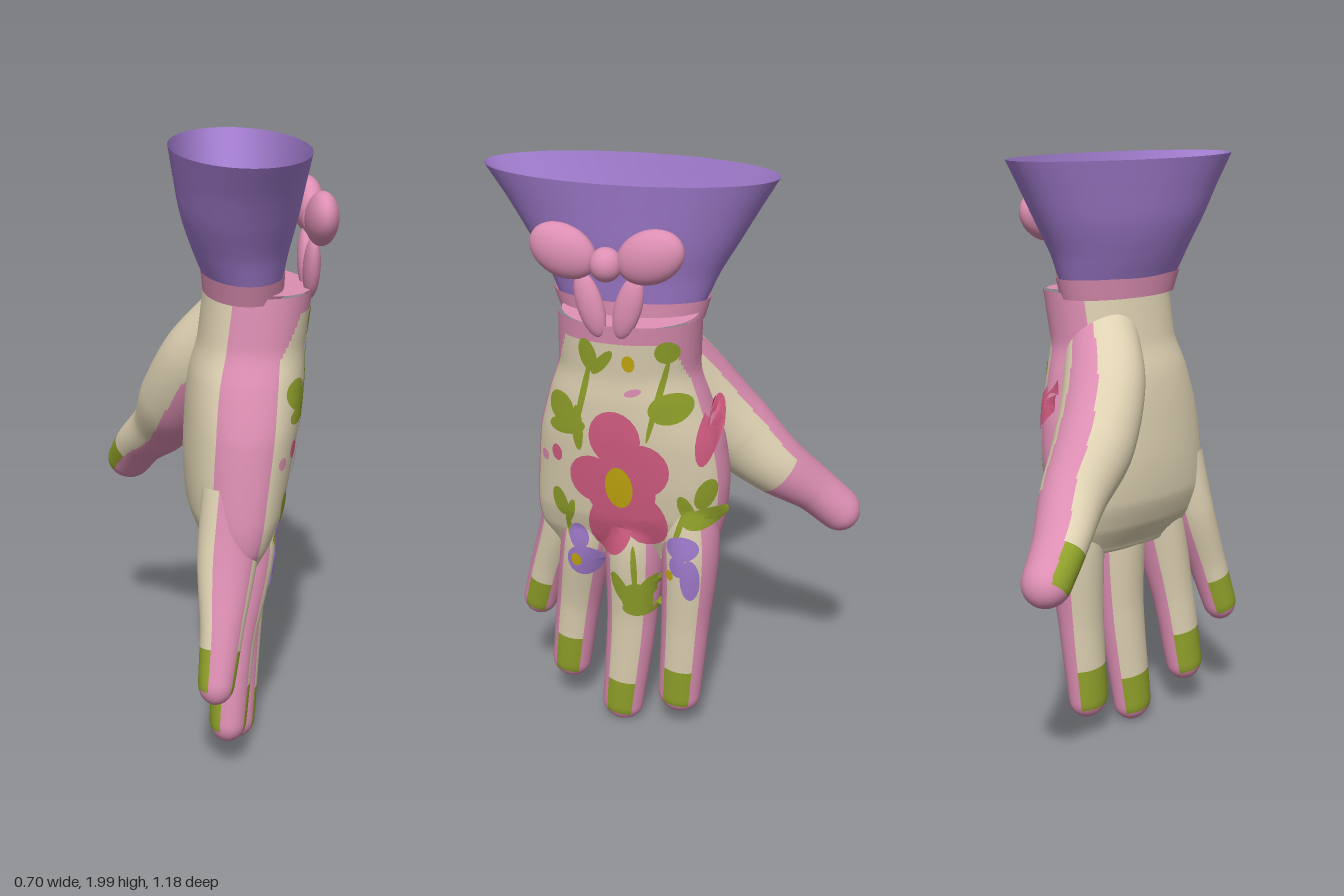
import * as THREE from 'three';
import { mergeGeometries } from 'three/addons/utils/BufferGeometryUtils.js';

const mat = (name, color, side = THREE.FrontSide) => {
  const m = new THREE.MeshStandardMaterial({ color, side });
  m.name = name;
  return m;
};

// Skin of cross-sections [x, y, z, halfX, halfAcross]; paint(t, c) picks a material index
// from the distance along t (above 1 on the rounded tip) and the cosine c around the section.
// level keeps every section horizontal.
function loft(sections, { rows = 40, sides = 56, tip = 0, power = 1, level = false, paint = () => 0 } = {}) {
  const path = new THREE.CatmullRomCurve3(sections.map(s => new THREE.Vector3(s[0], s[1], s[2])));
  const size = new THREE.CatmullRomCurve3(sections.map(s => new THREE.Vector3(s[3], s[4], 0)));
  const rings = [];
  for (let i = 0; i <= rows; i++) {
    const t = i / rows, d = size.getPoint(t);
    const dir = level ? new THREE.Vector3(0, -1, 0) : path.getTangent(t);
    rings.push({ t, p: path.getPoint(t), dir, a: d.x, b: d.y });
  }
  const end = rings[rows];
  for (let k = 1; tip && k <= 8; k++) {
    const q = (k / 8) * Math.PI / 2, f = Math.max(Math.cos(q), 0.002);
    rings.push({ t: 1 + 0.2 * k / 8, p: end.p.clone().addScaledVector(end.dir, tip * Math.sin(q)),
      dir: end.dir, a: end.a * f, b: end.b * f });
  }
  const pos = [], lists = [];
  const bend = v => Math.sign(v) * Math.abs(v) ** power;
  for (const r of rings) {
    const X = new THREE.Vector3(1, 0, 0).addScaledVector(r.dir, -r.dir.x).normalize();
    const W = r.dir.clone().cross(X);
    for (let j = 0; j < sides; j++) {
      const q = j / sides * Math.PI * 2;
      const v = r.p.clone().addScaledVector(X, r.a * bend(Math.cos(q))).addScaledVector(W, r.b * bend(Math.sin(q)));
      pos.push(v.x, v.y, v.z);
    }
  }
  for (let i = 0; i < rings.length - 1; i++) for (let j = 0; j < sides; j++) {
    const k = (j + 1) % sides, A = i * sides + j, B = i * sides + k, C = A + sides, D = B + sides;
    const m = paint((rings[i].t + rings[i + 1].t) / 2, Math.cos((j + 0.5) / sides * Math.PI * 2));
    (lists[m] ||= []).push(A, B, C, B, D, C);
  }
  const g = new THREE.BufferGeometry();
  g.setAttribute('position', new THREE.Float32BufferAttribute(pos, 3));
  const index = [];
  lists.forEach((l, m) => {
    g.addGroup(index.length, l.length, m);
    for (const v of l) index.push(v);
  });
  g.setIndex(index);
  g.computeVertexNormals();
  return g;
}

export function createModel() {
  const model = new THREE.Group();
  model.name = 'glove';
  const cream = mat('cream', 0xe0d3b4), pink = mat('pink', 0xdd8fb3), green = mat('green', 0x92a32b);
  const rose = mat('rose', 0xd85f85), yellow = mat('yellow', 0xc9ad10);
  const purple = mat('purple', 0xa37dd0, THREE.DoubleSide);
  const hemPink = mat('hem pink', 0xdd8fb3, THREE.DoubleSide);
  const skin = [cream, pink, green];
  const add = (name, geo, m, parent = model) => {
    const mesh = new THREE.Mesh(geo, m);
    mesh.name = name;
    parent.add(mesh);
    return mesh;
  };

  // Palm, from wrist to knuckles: rows of [y, xMin, xMax, zMin, zMax]
  const palmRows = [
    [1.575, -0.05, 0.287, -0.12, 0.335], [1.42, -0.07, 0.265, -0.11, 0.345], [1.3, -0.1, 0.26, -0.14, 0.385],
    [1.15, -0.115, 0.245, -0.185, 0.43], [1.0, -0.12, 0.22, -0.2, 0.45], [0.88, -0.112, 0.195, -0.19, 0.462],
    [0.79, -0.08, 0.16, -0.17, 0.455], [0.71, -0.03, 0.115, -0.13, 0.41],
  ].map(([y, a, b, c, d]) => [(a + b) / 2, y, (c + d) / 2, (b - a) / 2, (d - c) / 2]);
  const hand = [add('palm', loft(palmRows, { rows: 56, sides: 120, tip: 0.03, power: 0.9, level: true,
    paint: (t, c) => (c > -0.55 && (t < 0.05 || c < 0.34 + Math.max(0, 0.45 - 2.2 * t)) ? 1 : 0) }), skin)];

  // Fingers: cream back and front, pink side strips, green nails
  const fingers = {
    littleFinger: [0.78, [[0.02, 0.98, 0.35, 0.1, 0.085], [-0.005, 0.77, 0.395, 0.095, 0.078],
      [-0.03, 0.55, 0.47, 0.068, 0.066], [-0.05, 0.4, 0.515, 0.058, 0.062]]],
    ringFinger: [0.83, [[0.055, 1, 0.23, 0.1, 0.1], [0.055, 0.77, 0.28, 0.105, 0.095],
      [0.02, 0.45, 0.345, 0.07, 0.078], [0, 0.19, 0.385, 0.06, 0.07]]],
    middleFinger: [0.89, [[0.07, 1, 0.12, 0.1, 0.1], [0.08, 0.77, 0.115, 0.105, 0.102],
      [0.07, 0.45, 0.132, 0.072, 0.088], [0.055, 0.08, 0.175, 0.058, 0.074]]],
    indexFinger: [0.86, [[0.07, 1, -0.05, 0.1, 0.1], [0.075, 0.77, -0.077, 0.102, 0.098],
      [0.07, 0.44, -0.058, 0.072, 0.083], [0.06, 0.155, -0.035, 0.058, 0.075]]],
  };
  for (const [name, [nail, path]] of Object.entries(fingers)) {
    hand.push(add(name, loft(path, { rows: 48, tip: 0.072,
      paint: (t, c) => (t > 1.05 || (c > -0.55 && c < 0.77) ? 1 : t > nail ? 2 : 0) }), skin));
  }

  // Thumb, swelling out of the side of the palm
  hand.push(add('thumb', loft([
    [0.06, 1.45, 0.03, 0.12, 0.11], [-0.045, 1.28, -0.06, 0.14, 0.125], [-0.115, 1.12, -0.17, 0.132, 0.128],
    [-0.16, 0.985, -0.3, 0.108, 0.105], [-0.235, 0.87, -0.425, 0.092, 0.078], [-0.272, 0.785, -0.51, 0.081, 0.074],
  ], { rows: 64, sides: 120, tip: 0.082, paint: (t, c) => {
    if (t > 1.06) return 1;
    if (c < -0.4 - 0.35 * t) return t > 0.83 ? 2 : 0;
    return t > 0.63 || c < 0.2 + 0.5 * t ? 1 : 0;
  } }), skin));

  // Wrist opening lid, sloping down to the back of the hand
  const lid = new THREE.CircleGeometry(1, 48).rotateX(-Math.PI / 2).scale(0.163, 1, 0.218);
  add('wristLid', lid.rotateZ(-0.08).translate(0.122, 1.583, 0.107), pink);

  // Flared cuff and its pink hem
  add('cuff', loft([
    [0.055, 2, 0.125, 0.215, 0.465], [0.054, 1.9, 0.12, 0.198, 0.4], [0.054, 1.8, 0.118, 0.18, 0.34],
    [0.058, 1.7, 0.117, 0.152, 0.28], [0.068, 1.6, 0.117, 0.122, 0.235],
  ], { rows: 24, sides: 64, level: true }), purple);
  add('cuffHem', loft([[0.068, 1.622, 0.118, 0.13, 0.255], [0.07, 1.555, 0.115, 0.125, 0.232]],
    { rows: 4, sides: 64, level: true }), hemPink);

  // Bow: two loops, two tails and a knot
  const bow = new THREE.Group();
  bow.name = 'bow';
  model.add(bow);
  const blob = (name, x, y, z, r, tilt) => {
    const b = add(name, new THREE.SphereGeometry(1, 28, 18), pink, bow);
    b.position.set(x, y, z);
    b.scale.set(...r);
    b.rotation.x = tilt;
  };
  for (const s of [-1, 1]) {
    blob('bowLoop', 0.29, 1.8, 0.125 + s * 0.135, [0.05, 0.08, 0.108], -s * 0.42);
    blob('bowTail', 0.275, 1.635, 0.125 + s * 0.06, [0.027, 0.105, 0.042], s * 0.28);
  }
  blob('bowKnot', 0.298, 1.77, 0.125, [0.048, 0.052, 0.05], 0);

  // Painted spots: thin oval patches laid onto the back of the hand, [z, y, halfZ, halfY, turn]
  const ray = new THREE.Raycaster();
  const from = new THREE.Vector3(), aim = new THREE.Vector3(-1, 0, 0);
  const surfaceX = (z, y) => {
    ray.set(from.set(2, y, z), aim);
    return ray.intersectObjects(hand, false)[0]?.point.x ?? -1;
  };
  const patch = ([z, y, rz, ry, turn = 0], lift) => {
    const g = new THREE.RingGeometry(0, 1, 22, 4).scale(rz, ry, 1).rotateZ(turn);
    const p = g.attributes.position, lowest = surfaceX(z, y) - 0.08;
    for (let i = 0; i < p.count; i++) {
      const pz = z - p.getX(i), py = y + p.getY(i);
      p.setXYZ(i, Math.max(surfaceX(pz, py), lowest) + lift, py, pz);
    }
    g.computeVertexNormals();
    return g;
  };
  const paintSpots = (name, m, lift, spots) => add(name, mergeGeometries(spots.map(s => patch(s, lift))), m);

  paintSpots('leavesAndStems', green, 0.004, [
    [0.2, 1.47, 0.03, 0.055, 0.2], [0.155, 1.45, 0.018, 0.055, -0.7], [0.225, 1.33, 0.011, 0.13, -0.25],
    [0.31, 1.27, 0.05, 0.05, 0.4], [0.29, 1.21, 0.07, 0.03, 0.2], [0.25, 1.21, 0.02, 0.08],
    [-0.045, 1.49, 0.035, 0.037], [-0.015, 1.33, 0.01, 0.15, -0.25], [-0.05, 1.3, 0.065, 0.052, 0.2],
    [-0.148, 0.985, 0.03, 0.058, -0.3], [-0.14, 0.895, 0.065, 0.037, 0.2], [-0.09, 0.93, 0.022, 0.06, 0.3],
    [-0.065, 0.86, 0.01, 0.08, -0.3], [0.34, 0.91, 0.028, 0.055, 0.2], [0.305, 0.88, 0.015, 0.05, -0.3],
    [0.32, 0.82, 0.01, 0.05], [0.09, 0.69, 0.01, 0.09], [0.14, 0.6, 0.026, 0.07, 0.4],
    [0.09, 0.56, 0.05, 0.07], [0.055, 0.6, 0.028, 0.06, -0.5], [0.08, 0.52, 0.06, 0.03],
  ]);
  paintSpots('flowerPetals', rose, 0.006, [
    [0.125, 1.19, 0.085, 0.098], [0.045, 1.08, 0.09, 0.098], [0.05, 0.89, 0.075, 0.11, 0.3],
    [0.165, 0.85, 0.075, 0.12, -0.15], [0.205, 1.03, 0.085, 0.088], [0.12, 1.0, 0.12, 0.13],
    [-0.155, 1.2, 0.03, 0.11, -0.15], [0.335, 1.1, 0.02, 0.03],
  ]);
  paintSpots('pinkDots', pink, 0.004, [[0.39, 1.07, 0.016, 0.02], [0.06, 1.355, 0.028, 0.012, 0.3]]);
  paintSpots('purpleBlossoms', purple, 0.006, [
    [0.285, 0.78, 0.035, 0.052], [0.275, 0.68, 0.06, 0.062], [-0.075, 0.79, 0.056, 0.045],
    [-0.1, 0.67, 0.032, 0.08], [-0.06, 0.72, 0.03, 0.04],
  ]);
  paintSpots('yellowCentres', yellow, 0.009, [
    [0.12, 1.01, 0.046, 0.078], [0.068, 1.455, 0.02, 0.028], [0.3, 0.685, 0.018, 0.026], [-0.03, 0.68, 0.014, 0.02],
  ]);
  return model;
}
